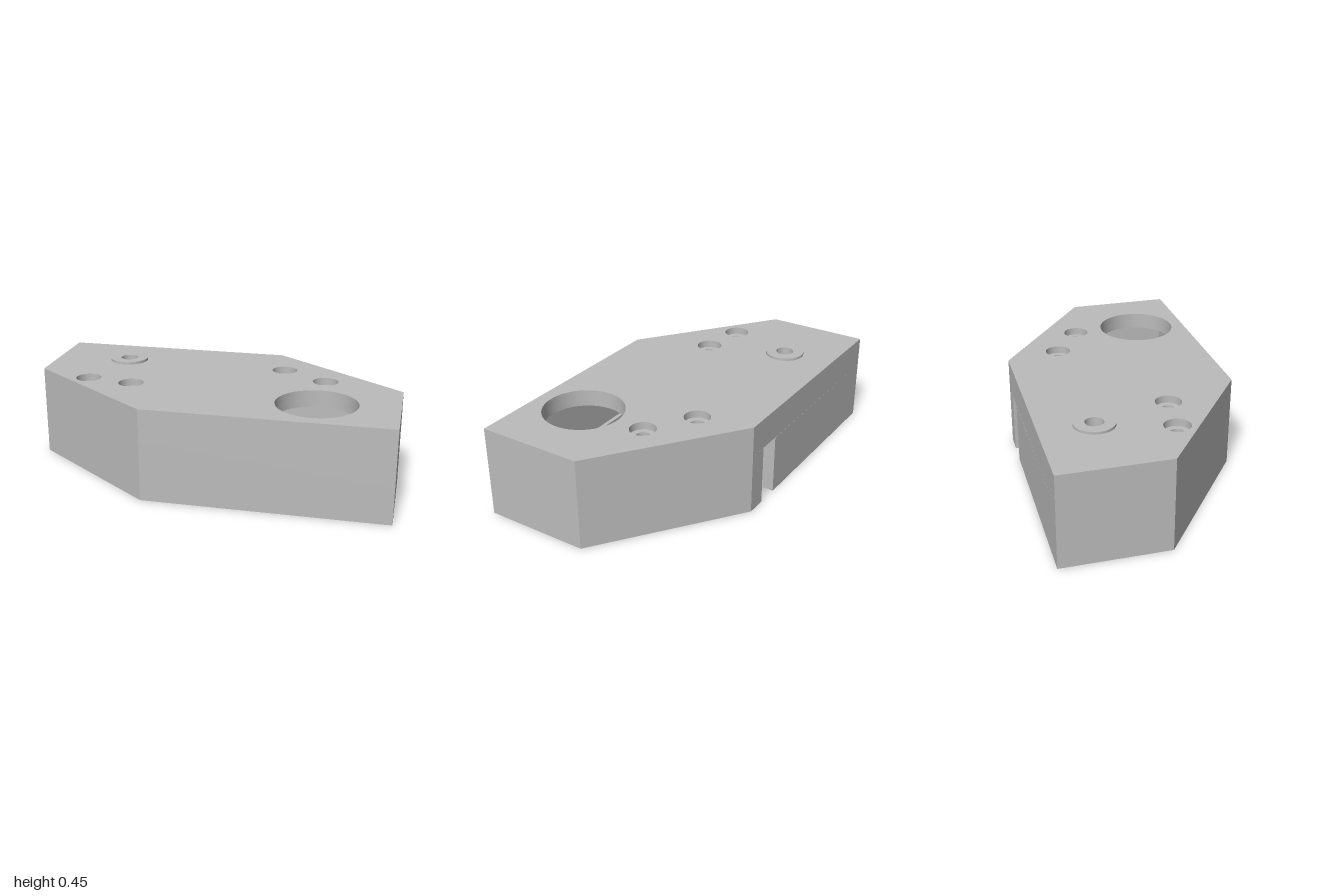
import * as THREE from 'three';
import { toCreasedNormals } from 'three/addons/utils/BufferGeometryUtils.js';

// Pockets are aligned with the long sides: (u, v) are coordinates along and across them
const local = (u, v) => [0.905 * u + 0.427 * v, -0.427 * u + 0.905 * v];
const rect = (u0, u1, v0, v1) =>
  [[u0, v0], [u1, v0], [u1, v1], [u0, v1]].map(([u, v]) => local(u, v));

// Plan points are given as [x, z]
const toPoints = (list) => list.map(([x, z]) => new THREE.Vector2(x, -z));
const polygon = (list) => new THREE.Path(toPoints(list));
const circle = (x, z, r) => new THREE.Path().absarc(x, -z, r, 0, Math.PI * 2, true);

function slab(name, material, outline, holes, y0, y1) {
  const shape = outline instanceof THREE.Shape ? outline : new THREE.Shape(toPoints(outline));
  shape.holes.push(...holes);
  let geometry = new THREE.ExtrudeGeometry(shape, {
    depth: y1 - y0, bevelEnabled: false, curveSegments: 32,
  });
  geometry.rotateX(-Math.PI / 2);
  geometry.translate(0, y0, 0);
  geometry = toCreasedNormals(geometry, 0.5);
  const mesh = new THREE.Mesh(geometry, material);
  mesh.name = name;
  return mesh;
}

export function createModel() {
  const group = new THREE.Group();
  group.name = 'mountingBlock';
  const grey = new THREE.MeshStandardMaterial({ color: 0xbcbcbc });
  grey.name = 'plain grey';

  // Six-sided plan of the block
  const backCorner = [0.015, -0.54];
  const rest = [[-1, -0.07], [-0.79, 0.376], [-0.018, 0.54], [1, 0.07], [0.79, -0.38]];
  const outline = [backCorner, ...rest];

  // Same plan with the back slot opening into the left-hand pocket
  const slottedOutline = [
    backCorner,
    ...[[0.149, -0.483], [0.149, -0.165], [0.07, -0.165], [0.07, -0.05],
      [-0.70, -0.05], [-0.70, -0.43], [0.04, -0.43], [0.04, -0.484]].map(([u, v]) => local(u, v)),
    ...rest,
  ];

  const bolts = [[0.17, -0.33], [0.425, -0.295], [-0.51, 0.345], [-0.295, 0.28]];
  const boltHoles = (r) => bolts.map(([x, z]) => circle(x, z, r));
  const bore = () => circle(0.56, 0, 0.187);
  const bossHole = () => circle(-0.562, 0, 0.042);
  const borePocket = () => polygon(rect(-0.07, 0.70, 0.05, 0.43));
  const groove = () => polygon(rect(-0.17, 0.715, 0.04, 0.45));
  const blindPocket = () => polygon(rect(-0.70, 0.07, -0.43, -0.05));

  // Block body, stacked from the open underside to the top face
  const add = (...args) => group.add(slab(args[0], grey, ...args.slice(1)));
  add('bottomRim', slottedOutline, [borePocket(), ...boltHoles(0.033)], 0, 0.109);
  add('groovedWall', slottedOutline, [groove(), ...boltHoles(0.033)], 0.109, 0.173);
  add('slottedWall', slottedOutline, [borePocket(), ...boltHoles(0.033)], 0.173, 0.287);
  add('upperWall', outline, [borePocket(), blindPocket(), ...boltHoles(0.033)], 0.287, 0.355);
  add('pocketRoof', outline, [bore(), ...boltHoles(0.033)], 0.355, 0.4);
  add('topPlate', outline, [bore(), bossHole(), ...boltHoles(0.06)], 0.4, 0.435);

  // Raised ring around the blind hole
  const ring = new THREE.Shape().absarc(-0.562, 0, 0.093, 0, Math.PI * 2, false);
  add('raisedBoss', ring, [bossHole()], 0.435, 0.447);

  return group;
}
